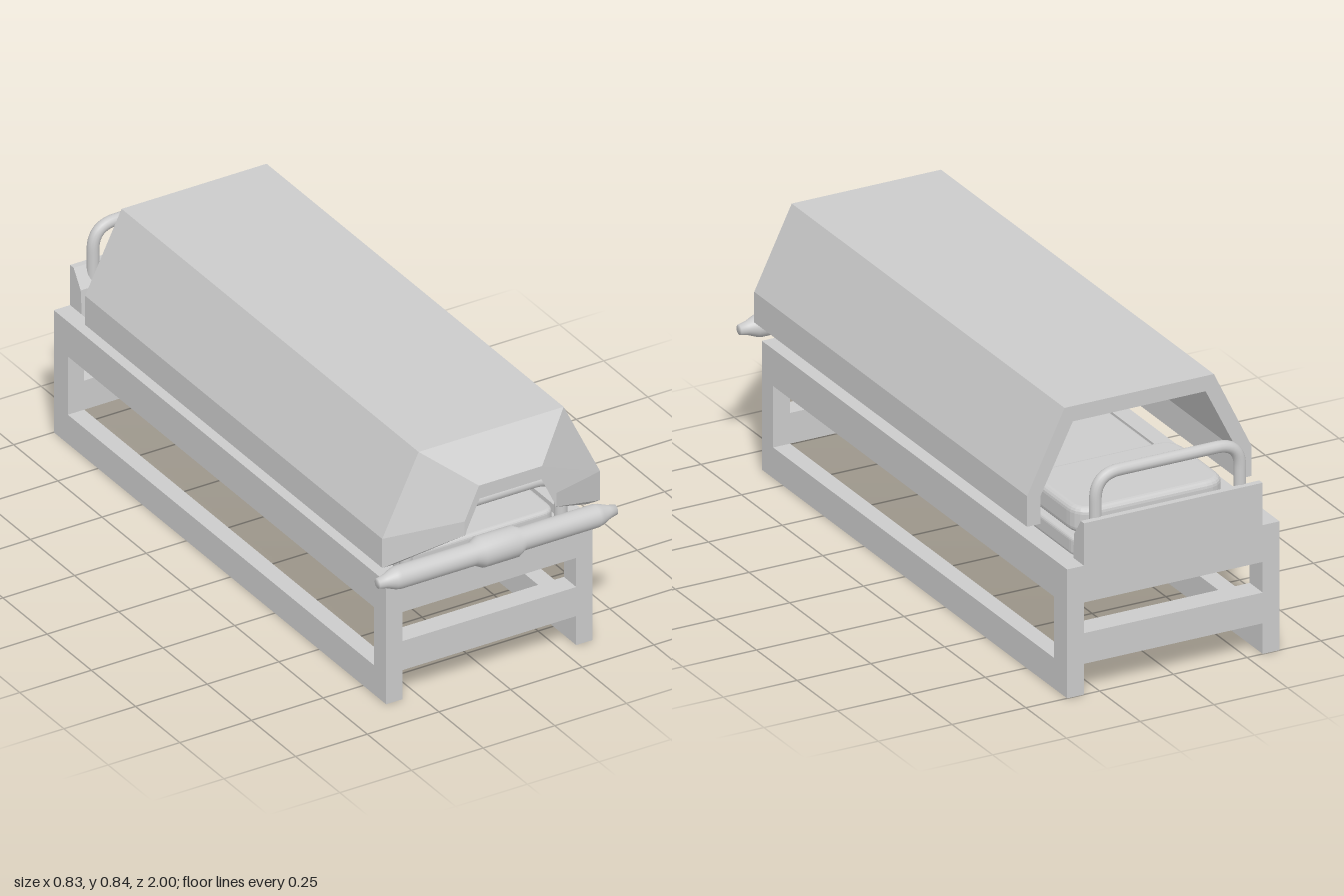
import * as THREE from 'three';

export function createModel() {
  const model = new THREE.Group();
  const flat = new THREE.MeshStandardMaterial({ color: 0xcccccc, flatShading: true });
  const smooth = new THREE.MeshStandardMaterial({ color: 0xcccccc });

  function add(name, geometry, material = flat) {
    const mesh = new THREE.Mesh(geometry, material);
    mesh.name = name;
    model.add(mesh);
    return mesh;
  }

  // Box given by its lower and upper limits on each axis
  function box(name, [x0, x1], [y0, y1], [z0, z1]) {
    add(name, new THREE.BoxGeometry(x1 - x0, y1 - y0, z1 - z0))
      .position.set((x0 + x1) / 2, (y0 + y1) / 2, (z0 + z1) / 2);
  }

  const polygon = (points) => points.map(([x, y]) => new THREE.Vector2(x, y));

  // Profile drawn in (z, y), extruded across x from x0 to x1
  function sidePanel(name, points, x0, x1, hole) {
    const shape = new THREE.Shape(polygon(points));
    if (hole) shape.holes.push(new THREE.Path(polygon(hole)));
    const geometry = new THREE.ExtrudeGeometry(shape, { depth: x1 - x0, bevelEnabled: false });
    geometry.rotateY(-Math.PI / 2);
    geometry.translate(x1, 0, 0);
    add(name, geometry);
  }

  // Soft slab with rounded plan corners and bevelled edges
  function cushion(name, halfWidth, [y0, y1], [z0, z1], corner, bevel) {
    const w = halfWidth - bevel, d = (z1 - z0) / 2 - bevel, r = corner;
    const s = new THREE.Shape();
    s.moveTo(-w + r, -d);
    s.lineTo(w - r, -d).quadraticCurveTo(w, -d, w, -d + r);
    s.lineTo(w, d - r).quadraticCurveTo(w, d, w - r, d);
    s.lineTo(-w + r, d).quadraticCurveTo(-w, d, -w, d - r);
    s.lineTo(-w, -d + r).quadraticCurveTo(-w, -d, -w + r, -d);
    const geometry = new THREE.ExtrudeGeometry(s, {
      depth: y1 - y0 - 2 * bevel, bevelSize: bevel, bevelThickness: bevel, bevelSegments: 4, curveSegments: 6,
    });
    geometry.rotateX(-Math.PI / 2);
    geometry.translate(0, y0 + bevel, (z0 + z1) / 2);
    add(name, geometry);
  }

  // Arched grab rail standing across x
  function archRail(name, halfWidth, y0, y1, z, corner, radius) {
    const v = (x, y) => new THREE.Vector3(x, y, z);
    const path = new THREE.CurvePath();
    path.add(new THREE.LineCurve3(v(-halfWidth, y0), v(-halfWidth, y1 - corner)));
    path.add(new THREE.QuadraticBezierCurve3(v(-halfWidth, y1 - corner), v(-halfWidth, y1), v(-halfWidth + corner, y1)));
    path.add(new THREE.LineCurve3(v(-halfWidth + corner, y1), v(halfWidth - corner, y1)));
    path.add(new THREE.QuadraticBezierCurve3(v(halfWidth - corner, y1), v(halfWidth, y1), v(halfWidth, y1 - corner)));
    path.add(new THREE.LineCurve3(v(halfWidth, y1 - corner), v(halfWidth, y0)));
    add(name, new THREE.TubeGeometry(path, 72, radius, 14), smooth);
  }

  // Base frame: two windowed sides, deck and low cross rails
  const outline = [[-1, 0], [0.88, 0], [0.88, 0.42], [-1, 0.42]];
  const window = [[-0.92, 0.1], [-0.92, 0.3], [0.81, 0.3], [0.81, 0.1]];
  sidePanel('leftSideFrame', outline, 0.303, 0.36, window);
  sidePanel('rightSideFrame', outline, -0.36, -0.303, window);
  box('deck', [-0.303, 0.303], [0.3, 0.39], [-1, 0.88]);
  box('frontCrossRail', [-0.303, 0.303], [0.1, 0.2], [0.81, 0.88]);
  box('backCrossRail', [-0.303, 0.303], [0.1, 0.2], [-1, -0.92]);

  // Headboard with a sloped inner edge
  sidePanel('headboard', [[-1, 0.39], [-0.932, 0.39], [-0.94, 0.5], [-0.98, 0.558], [-1, 0.558]], -0.303, 0.303);

  // Bedding
  cushion('mattress', 0.27, [0.39, 0.45], [-0.89, 0.82], 0.03, 0.012);
  cushion('pillow', 0.255, [0.45, 0.535], [-0.875, -0.54], 0.05, 0.02);

  // Grab rails at both ends
  archRail('backHandle', 0.245, 0.45, 0.69, -0.965, 0.08, 0.019);
  archRail('frontHandle', 0.27, 0.38, 0.585, 0.845, 0.1, 0.02);

  // Turned crossbar at the front
  const half = [[0, 0.415], [0.016, 0.415], [0.021, 0.39], [0.033, 0.36], [0.036, 0.345], [0.036, 0.085], [0.049, 0.06]];
  const profile = [...half.map(([r, x]) => [r, -x]), ...half.slice().reverse()];
  const turned = new THREE.LatheGeometry(polygon(profile), 32);
  turned.rotateZ(Math.PI / 2);
  add('crossbar', turned, smooth).position.set(0, 0.452, 0.92);

  // Faceted hood: a thick shell lofted through three mirrored sections
  function section(z, outer, inner) {
    const mirror = (points) => points.map(([x, y]) => [-x, y]).reverse();
    const insideOut = inner.slice().reverse();
    return [...outer, ...mirror(outer), ...inner.map(([x, y]) => [-x, y]), ...insideOut]
      .map(([x, y]) => [x, y, z]);
  }
  const outer = [[0.38, 0.48], [0.38, 0.58], [0.253, 0.84]];
  const inner = [[0.335, 0.48], [0.335, 0.57], [0.225, 0.79]];
  const stations = [
    section(-0.79, outer, inner),
    section(0.89, outer, inner),
    section(1, [[0.16, 0.58], [0.16, 0.627], [0.11, 0.735]], [[0.157, 0.58], [0.152, 0.597], [0.108, 0.69]]),
  ];
  const positions = [];
  const quad = (a, b, c, d) => positions.push(...a, ...b, ...c, ...a, ...c, ...d);
  for (let k = 0; k < 2; k++) {
    const s = stations[k], t = stations[k + 1];
    for (let i = 0; i < 12; i++) {
      const j = (i + 1) % 12;
      quad(s[i], s[j], t[j], t[i]);
    }
  }
  // Rims at the open ends
  const back = stations[0], front = stations[2];
  for (let i = 0; i < 5; i++) {
    quad(front[i], front[i + 1], front[10 - i], front[11 - i]);
    quad(back[11 - i], back[10 - i], back[i + 1], back[i]);
  }
  const hood = new THREE.BufferGeometry();
  hood.setAttribute('position', new THREE.Float32BufferAttribute(positions, 3));
  hood.computeVertexNormals();
  add('hood', hood);

  return model;
}
